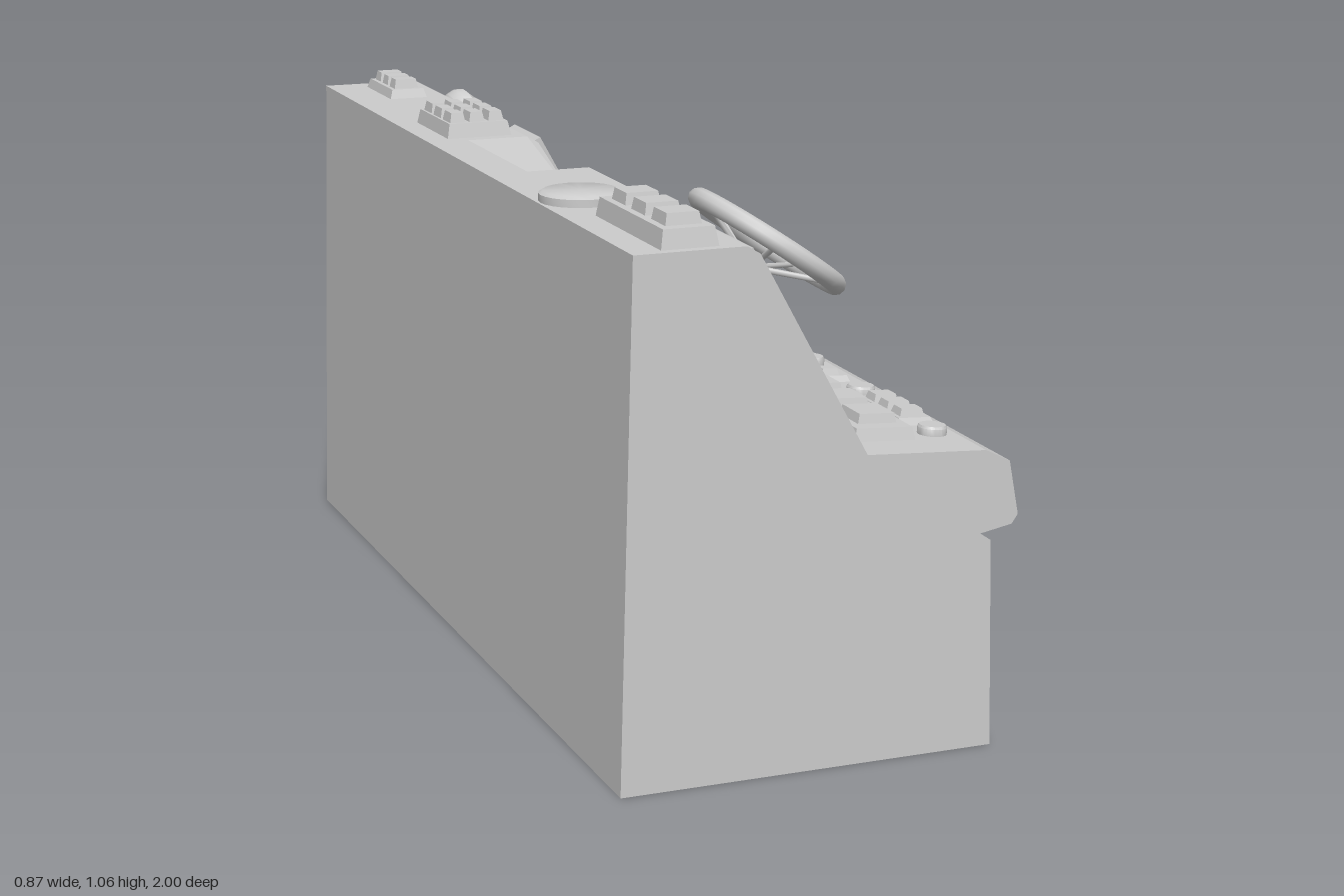
import * as THREE from 'three';
import { toCreasedNormals } from 'three/addons/utils/BufferGeometryUtils.js';
import { ConvexGeometry } from 'three/addons/geometries/ConvexGeometry.js';

const mat = new THREE.MeshStandardMaterial({ color: 0xcccccc });

function add(parent, name, geo, x = 0, y = 0, z = 0) {
  const m = new THREE.Mesh(geo, mat);
  m.name = name;
  m.position.set(x, y, z);
  parent.add(m);
  return m;
}

// Box standing on local z = 0 whose top is drawn in by a bevel
function slab(w, h, d, bevel = 0.006) {
  const g = new THREE.BoxGeometry(w, h, d).translate(0, 0, d / 2);
  const p = g.attributes.position;
  for (let i = 0; i < p.count; i++) {
    if (p.getZ(i) > d / 2) {
      p.setX(i, p.getX(i) - Math.sign(p.getX(i)) * bevel);
      p.setY(i, p.getY(i) - Math.sign(p.getY(i)) * bevel);
    }
  }
  g.computeVertexNormals();
  return g;
}

function rectPath(path, x, y, w, h, r = 0) {
  const a = x - w / 2, b = x + w / 2, c = y - h / 2, d = y + h / 2;
  // only the right-hand corners are cut
  path.moveTo(a, c);
  path.lineTo(b - r, c);
  if (r) path.quadraticCurveTo(b, c, b, c + r);
  else path.lineTo(b, c);
  path.lineTo(b, d - r);
  if (r) path.quadraticCurveTo(b, d, b - r, d);
  path.lineTo(a, d);
  path.closePath();
  return path;
}

// Plate with rectangular openings, each [x, y, w, h]
function frame(w, h, d, holes, r = 0) {
  const s = rectPath(new THREE.Shape(), 0, 0, w, h, r);
  holes.forEach(o => s.holes.push(rectPath(new THREE.Path(), ...o)));
  return new THREE.ExtrudeGeometry(s, { depth: d, bevelEnabled: false, curveSegments: 4 });
}

// Round part turned about local z from [radius, height] points
function turned(points, sides = 24) {
  const g = new THREE.LatheGeometry(points.map(p => new THREE.Vector2(...p)), sides);
  return toCreasedNormals(g.rotateX(Math.PI / 2), 0.6);
}
const button = (r, d) => turned([[r, 0], [r, d * 0.75], [r * 0.9, d], [0, d]]);
const dome = (r, d) => turned([[r * 0.88, 0], [r, d * 0.22], [r, d * 0.55], [r * 0.9, d * 0.8], [r * 0.6, d * 0.96], [0, d]]);
const ring = (r, d) => turned([[r, 0], [r, d * 0.7], [r * 0.92, d], [r * 0.76, d], [r * 0.72, d * 0.25], [0, d * 0.25]]);

// Working plane on a side of the console: local x runs to -z, y up the side, z outward.
// q is a coordinate along world axis 0 (x) or 1 (y).
function makeFace(root, name, p0, p1, axis) {
  const Y = new THREE.Vector3(p1[0] - p0[0], p1[1] - p0[1], 0).normalize();
  const X = new THREE.Vector3(0, 0, -1);
  const Z = new THREE.Vector3().crossVectors(X, Y);
  const g = new THREE.Group();
  g.name = name;
  g.applyMatrix4(new THREE.Matrix4().makeBasis(X, Y, Z).setPosition(p0[0], p0[1], 0));
  root.add(g);
  const k = axis ? Y.y : Y.x;
  const area = (z0, z1, q0, q1) => ({
    x: -(z0 + z1) / 2, y: ((q0 + q1) / 2 - p0[axis]) / k,
    w: Math.abs(z1 - z0), h: Math.abs((q1 - q0) / k)
  });
  return {
    round: (n, geo, z, q, lift = 0) => add(g, n, geo, -z, (q - p0[axis]) / k, lift),
    plate(n, z0, z1, q0, q1, d, bevel) {
      const a = area(z0, z1, q0, q1);
      return add(g, n, slab(a.w, a.h, d, bevel), a.x, a.y, 0);
    },
    // plate with a grid of raised keys
    keys(n, z0, z1, q0, q1, d, cols, rows, rise, fill = 0.72) {
      const a = area(z0, z1, q0, q1), set = new THREE.Group();
      set.name = n;
      set.position.set(a.x, a.y, 0);
      g.add(set);
      add(set, n + 'Base', slab(a.w, a.h, d));
      const cw = a.w * 0.9 / cols, ch = a.h * 0.9 / rows;
      for (let i = 0; i < cols; i++) for (let j = 0; j < rows; j++) {
        add(set, n + 'Key', slab(cw * fill, ch * fill, rise, 0.004),
          (i - (cols - 1) / 2) * cw, (j - (rows - 1) / 2) * ch, d);
      }
    },
    // plate with openings and a recessed back
    windows(n, z0, z1, q0, q1, d, holes, r) {
      const a = area(z0, z1, q0, q1);
      add(g, n, frame(a.w, a.h, d, holes, r), a.x, a.y, 0);
      holes.forEach(o => add(g, n + 'Glass', slab(o[2], o[3], d * 0.3, 0), a.x + o[0], a.y + o[1], 0));
    }
  };
}

function body(root) {
  const back = [[-0.44, 0], [-0.415, 1]];
  const front = [[0.04, 0.595], [0.28, 0.58], [0.33, 0.555], [0.35, 0.45], [0.338, 0.432], [0.273, 0.42], [0.295, 0.405], [0.305, 0]];
  const top = [[-0.2, 1], [-0.175, 0.985]];
  const notch = [[-0.33, 1], [-0.33, 0.885], [-0.12, 0.885]];
  const section = (pts, z0, z1) => add(root, 'consoleBody', new THREE.ExtrudeGeometry(
    new THREE.Shape(pts.map(p => new THREE.Vector2(...p))), { depth: z1 - z0, bevelEnabled: false }), 0, 0, z0);
  section([...back, ...top, ...front], -1, -0.19);
  section([...back, ...notch, ...front], -0.19, 0.19);
  section([...back, ...top, ...front], 0.19, 1);
  // sloping cheeks of the compass recess
  for (const s of [-1, 1]) {
    const pts = [...notch, ...top].map(p => new THREE.Vector3(p[0], p[1], s * 0.19));
    pts.push(new THREE.Vector3(-0.33, 0.885, s * 0.153), new THREE.Vector3(-0.12, 0.885, s * 0.153));
    add(root, 'recessCheek', new ConvexGeometry(pts));
  }
  add(root, 'compass', ring(0.08, 0.035).rotateX(-Math.PI / 2), -0.24, 0.885, 0);
}

function steeringWheel(root) {
  const g = new THREE.Group();
  g.name = 'steeringWheel';
  g.position.set(0.27, 0.776, 0);
  g.rotation.z = -0.61;               // local y is the wheel axis
  root.add(g);
  add(g, 'wheelRim', new THREE.TorusGeometry(0.173, 0.022, 10, 32).rotateX(Math.PI / 2));
  const rod = (parent, name, a, b, r0, r1, sides) => {
    const d = new THREE.Vector3().subVectors(b, a);
    const m = add(parent, name, new THREE.CylinderGeometry(r1, r0, d.length(), sides));
    m.position.copy(a).addScaledVector(d, 0.5);
    m.quaternion.setFromUnitVectors(new THREE.Vector3(0, 1, 0), d.normalize());
  };
  for (let i = 0; i < 5; i++) {
    const t = Math.PI + i * Math.PI * 0.4;
    rod(g, 'wheelSpoke', new THREE.Vector3(0, -0.065, 0),
      new THREE.Vector3(Math.cos(t) * 0.17, 0, Math.sin(t) * 0.17), 0.007, 0.006, 6);
  }
  rod(root, 'steeringColumn', new THREE.Vector3(0.18, 0.59, 0), new THREE.Vector3(0.24, 0.72, 0), 0.032, 0.027, 16);
}

export function createModel() {
  const root = new THREE.Group();
  root.name = 'controlConsole';
  body(root);
  steeringWheel(root);

  // Sloping instrument panel
  const slope = makeFace(root, 'instrumentPanel', [0.04, 0.595], [-0.175, 0.985], 1);
  slope.windows('monitor', 0.86, 0.4, 0.715, 0.95, 0.03, [[-0.07, 0, 0.25, 0.225]], 0.035);
  slope.keys('rockerStrip', 0.34, 0.265, 0.74, 0.922, 0.018, 1, 3, 0.018);
  slope.windows('centreScreen', 0.21, -0.13, 0.65, 0.83, 0.014, [[0, 0, 0.31, 0.175]]);
  slope.windows('twinDisplay', -0.25, -0.42, 0.86, 0.975, 0.022, [[-0.039, 0, 0.065, 0.105], [0.039, 0, 0.065, 0.105]]);
  slope.windows('squareScreen', -0.49, -0.73, 0.615, 0.82, 0.016, [[0, 0, 0.215, 0.21]]);
  slope.keys('switchBank', -0.805, -0.965, 0.65, 0.825, 0.02, 1, 3, 0.022, 0.85);
  slope.round('largeDome', dome(0.125, 0.088), -0.31, 0.738);
  slope.round('smallDome', dome(0.08, 0.065), -0.88, 0.905);
  for (const z of [-0.54, -0.69]) slope.round('gauge', button(0.063, 0.032), z, 0.892);

  // Desk
  const desk = makeFace(root, 'desk', [0.28, 0.58], [0.04, 0.595], 0);
  desk.plate('buttonPad', -0.75, -0.99, 0.05, 0.26, 0.028);
  desk.round('largeButton', button(0.08, 0.05), -0.868, 0.15, 0.026);
  desk.keys('leverBank', -0.57, -0.74, 0.06, 0.245, 0.018, 1, 3, 0.016, 0.8);
  desk.keys('narrowBank', -0.47, -0.53, 0.06, 0.245, 0.014, 1, 3, 0.014, 0.7);
  desk.keys('leverBank', -0.23, -0.44, 0.06, 0.25, 0.018, 1, 3, 0.016, 0.8);
  desk.round('columnBase', button(0.08, 0.022), 0, 0.17);
  for (const x of [0.075, 0.155, 0.23]) desk.round('pushButton', button(0.028, 0.022), 0.32, x);
  desk.keys('squareSwitches', 0.46, 0.4, 0.06, 0.255, 0.012, 1, 3, 0.012, 0.65);
  desk.keys('keyPanel', 0.91, 0.51, 0.055, 0.18, 0.024, 3, 1, 0.018, 0.7);
  desk.keys('smallKeyPanel', 0.81, 0.62, 0.19, 0.268, 0.014, 3, 1, 0.014);
  for (const z of [0.555, 0.87]) desk.round('pushButton', button(0.028, 0.018), z, 0.233);

  // Top ledge
  const ledge = makeFace(root, 'topLedge', [-0.2, 1], [-0.415, 1], 0);
  ledge.keys('topKeyPanel', 0.98, 0.65, -0.355, -0.245, 0.036, 3, 1, 0.022, 0.7);
  ledge.round('topDisc', button(0.08, 0.02), 0.5, -0.33);
  ledge.keys('keypad', -0.22, -0.44, -0.365, -0.225, 0.03, 3, 3, 0.02, 0.8);
  ledge.keys('topSwitches', -0.76, -0.95, -0.33, -0.245, 0.02, 3, 1, 0.02);

  // Lower front
  const lower = makeFace(root, 'lowerFront', [0.305, 0], [0.295, 0.405], 1);
  for (const y of [0.06, 0.24]) {
    lower.windows('socketPanel', 0.82, 0.42, y, y + 0.128, 0.035,
      [-0.13, 0, 0.13].map(x => [x, 0, 0.1, 0.092]));
  }
  lower.plate('dialPanel', 0.27, -0.28, 0.12, 0.33, 0.02);
  for (const z of [0.175, 0, -0.175]) lower.round('dial', ring(0.065, 0.022), z, 0.228, 0.02);
  lower.plate('accessDoor', -0.435, -0.915, 0.05, 0.405, 0.025, 0.004);

  return root;
}
